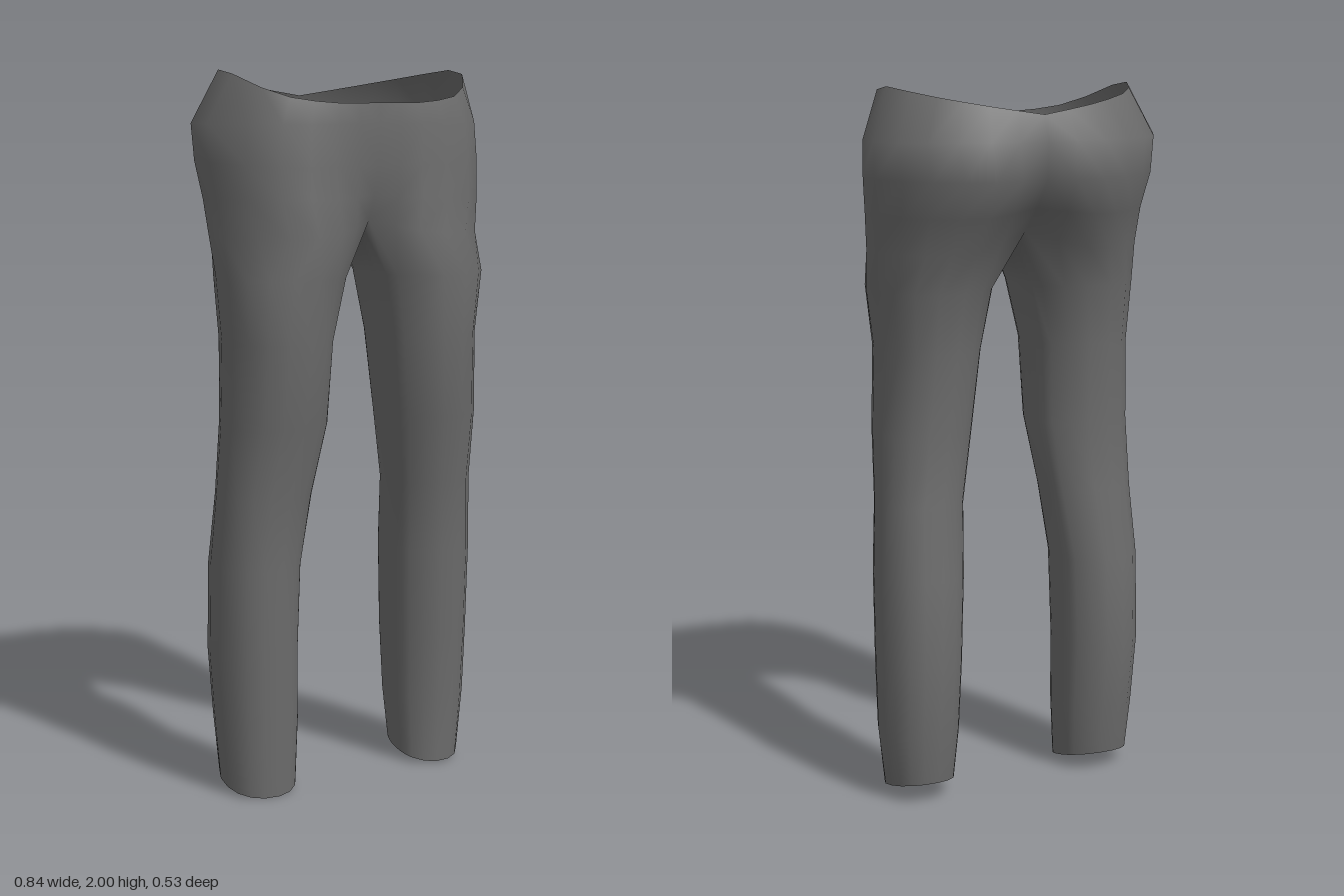
import * as THREE from 'three';
import { mergeGeometries, mergeVertices } from 'three/addons/utils/BufferGeometryUtils.js';

const OUTER = 14; // points round the outside of one half, centre front to centre back
const INNER = 6;  // extra points along the crotch seam

// Half cross-sections of the hips: [x, y, z] from centre front round the side to centre back
const HIPS = [
  [[0, 1.915, .24], [.13, 1.915, .235], [.27, 1.935, .195], [.365, 2, .04], [.29, 1.98, -.125], [.16, 1.955, -.195], [0, 1.93, -.22]],
  [[0, 1.86, .242], [.14, 1.86, .245], [.3, 1.86, .205], [.425, 1.86, -.01], [.34, 1.86, -.17], [.18, 1.86, -.245], [0, 1.86, -.245]],
  [[0, 1.75, .232], [.14, 1.75, .247], [.31, 1.75, .21], [.42, 1.76, 0], [.33, 1.76, -.175], [.17, 1.76, -.262], [0, 1.76, -.24]],
  [[0, 1.67, .21], [.14, 1.66, .253], [.31, 1.66, .215], [.408, 1.66, .02], [.32, 1.66, -.135], [.17, 1.66, -.212], [0, 1.68, -.175]],
  [[0, 1.6, .18], [.13, 1.57, .257], [.29, 1.56, .232], [.4, 1.56, .04], [.32, 1.56, -.105], [.18, 1.56, -.16], [0, 1.61, -.1]],
];
const CROTCH = [[0, 1.61, -.1], [0, 1.572, -.04], [0, 1.56, .05], [0, 1.565, .12], [0, 1.6, .18]];

// Leg sections: [y, inner x, outer x, front z, back z]
const RIGHT_LEG = [
  [1.45, .04, .39, .255, -.115], [1.28, .085, .38, .248, -.09], [1.05, .092, .383, .215, -.077],
  [.85, .125, .39, .172, -.08], [.65, .155, .4, .165, -.11], [.4, .16, .4, .155, -.12],
  [.2, .16, .39, .147, -.1], [.035, .17, .38, .14, -.075],
];
const LEFT_LEG = [
  [1.45, .045, .385, .27, -.12], [1.28, .075, .362, .26, -.09], [1.05, .105, .375, .23, -.08],
  [.85, .14, .385, .177, -.085], [.65, .152, .4, .16, -.12], [.4, .167, .404, .14, -.135],
  [.2, .177, .402, .122, -.125], [.035, .19, .38, .118, -.105],
];

const sample = (pts, n) =>
  new THREE.CatmullRomCurve3(pts.map(p => new THREE.Vector3(...p)), false, 'centripetal').getPoints(n - 1);

// One closed leg section, its points in step with the hip arc and crotch seam
function legRing([y, xi, xo, zf, zb], isHem) {
  const ring = [];
  const cx = (xi + xo) / 2, cz = (zf + zb) / 2;
  const round = v => Math.sign(v) * Math.abs(v) ** 0.92;
  const start = -0.9, sweep = Math.PI + 1.8;
  for (let k = 0; k < OUTER + INNER; k++) {
    const a = k < OUTER
      ? start + sweep * k / (OUTER - 1)
      : start + sweep + (2 * Math.PI - sweep) * (k - OUTER + 1) / (INNER + 1);
    const x = cx + (xo - xi) / 2 * round(Math.sin(a));
    const z = cz + (zf - zb) / 2 * round(Math.cos(a));
    ring.push(new THREE.Vector3(x, isHem ? y - z * 0.25 : y, z)); // hem dips at the front
  }
  return ring;
}

// Skin a list of equal rows; side is +1 or -1 and mirrors x
function loft(rows, side, closed) {
  const n = rows[0].length, pos = [], index = [];
  rows.flat().forEach(p => pos.push(p.x * side, p.y, p.z));
  for (let r = 0; r < rows.length - 1; r++) {
    for (let k = 0; k < (closed ? n : n - 1); k++) {
      const a = r * n + k, c = r * n + (k + 1) % n, b = a + n, d = c + n;
      if (side > 0) index.push(a, b, c, c, b, d);
      else index.push(a, c, b, c, d, b);
    }
  }
  const g = new THREE.BufferGeometry();
  g.setAttribute('position', new THREE.Float32BufferAttribute(pos, 3));
  g.setIndex(index);
  return g;
}

// Hip panel and leg of one side
function half(side, legs) {
  const hipRows = HIPS.map(row => sample(row, OUTER));
  const seam = sample(CROTCH, INNER + 2).slice(1, -1);
  const top = [...hipRows[hipRows.length - 1], ...seam];
  const legRows = legs.map((s, i) => legRing(s, i === legs.length - 1));
  return [loft(hipRows, side, false), loft([top, ...legRows], side, true)];
}

export function createModel() {
  const group = new THREE.Group();
  group.name = 'trousers';
  const cloth = new THREE.MeshStandardMaterial({ color: 0x6c6c6c, side: THREE.DoubleSide });
  cloth.name = 'grey cloth';

  // Both halves are welded along the centre so the cloth shades smoothly
  const geometry = mergeVertices(mergeGeometries([...half(1, LEFT_LEG), ...half(-1, RIGHT_LEG)]), 1e-4);
  geometry.computeVertexNormals();
  const mesh = new THREE.Mesh(geometry, cloth);
  mesh.name = 'trouserCloth';
  group.add(mesh);
  return group;
}
